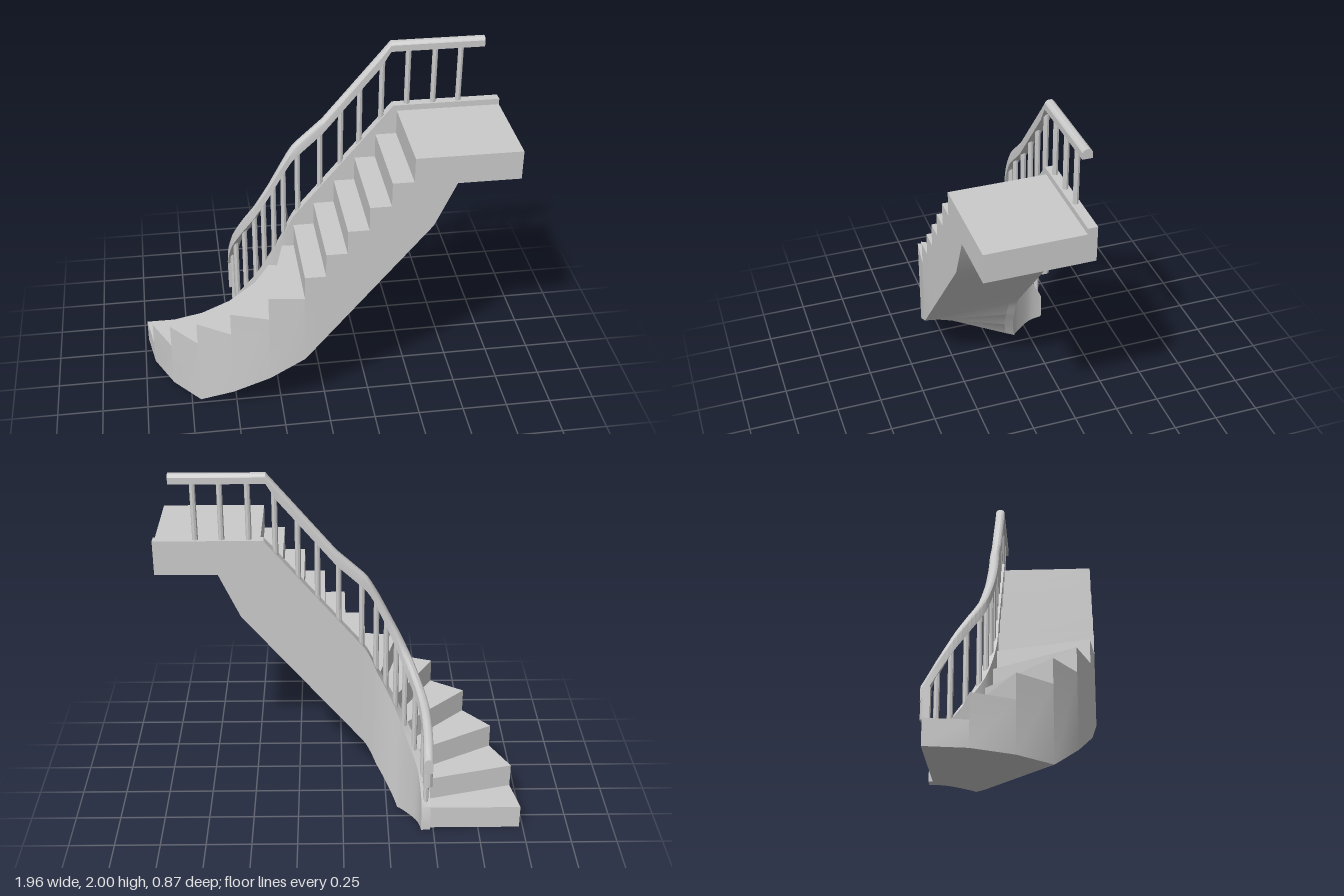
import * as THREE from 'three';
import { toCreasedNormals } from 'three/addons/utils/BufferGeometryUtils.js';

const RISE = 0.134, TREAD = 0.111, END_X = 0.975;
const V = (x, y, z) => new THREE.Vector3(x, y, z);

// Plan points [x, z] of the curved flight, one per riser
const outer = [[-0.98, -0.36], [-0.945, -0.15], [-0.845, 0.055], [-0.70, 0.225], [-0.52, 0.34], [-0.32, 0.41], [-0.13, 0.435]];
const inner = [[-0.48, -0.36], [-0.46, -0.28], [-0.405, -0.195], [-0.34, -0.125], [-0.27, -0.09], [-0.195, -0.073], [-0.13, -0.07]];
const innerCurve = new THREE.CatmullRomCurve3(
  [[-0.482, -0.435], ...inner, [-0.02, -0.07]].map(([x, z]) => V(x, 0, z)));

const xToT = x => 6 + (x + 0.13) / TREAD;
const tToX = t => -0.13 + (t - 6) * TREAD;
const T_END = xToT(END_X);

// Linear lookup in rows of [t, value]
function lookup(rows, t) {
  for (let i = 1; i < rows.length; i++) {
    const [a, va] = rows[i - 1], [b, vb] = rows[i];
    if (t <= b) return va + (vb - va) * Math.max(0, (t - a) / (b - a));
  }
  return rows[rows.length - 1][1];
}
const underside = t => lookup([[3, 0], [12, 9 * RISE], [13, 1.45], [T_END, 1.45]], t);
const stringerTop = t => Math.min(1.64, RISE * (t + 1) + 0.055);
const railTop = t => lookup([[-1, 0.5], [0, 0.635], [1, 0.775], [2, 0.92], [3, 1.05], [4, 1.18],
  [5, 1.32], [6, 1.425], [7.45, 1.575], [10.64, 2], [16, 2]], t);
const railDepth = t => lookup([[-1, 0.09], [2, 0.09], [5, 0.08], [10.2, 0.075], [10.64, 0.05], [16, 0.05]], t);

// Point at step position t, shifted by d from the tread edge towards the well
function place(t, d, y) {
  if (t >= 6.5) return V(tToX(t), y, -0.07 - d);
  const u = (t + 1) / 8, p = innerCurve.getPoint(u), g = innerCurve.getTangent(u);
  return V(p.x + g.z * d, y, p.z - g.x * d);
}

function meshFrom(name, triangles) {
  const geo = new THREE.BufferGeometry().setFromPoints(triangles);
  const mat = new THREE.MeshStandardMaterial({ color: 0xcccccc });
  const mesh = new THREE.Mesh(toCreasedNormals(geo, 0.5), mat);
  mesh.name = name;
  return mesh;
}

// Skin a row of equal rings and cap both ends
function loft(name, rings) {
  const tri = [], n = rings[0].length;
  for (let i = 0; i + 1 < rings.length; i++) {
    for (let j = 0; j < n; j++) {
      const k = (j + 1) % n, r = rings[i], s = rings[i + 1];
      tri.push(r[j], s[j], s[k], r[j], s[k], r[k]);
    }
  }
  const a = rings[0], b = rings[rings.length - 1];
  for (let j = 1; j + 1 < n; j++) tri.push(a[0], a[j], a[j + 1], b[0], b[j + 1], b[j]);
  return meshFrom(name, tri);
}

function stations(from, to, extra) {
  const list = [from, ...extra, to];
  for (let t = Math.ceil(from * 4) / 4; t < 6.5; t += 0.25) list.push(t);
  return [...new Set(list)].sort((p, q) => p - q);
}

// Treads, risers, outer wall and soffit
function buildSteps() {
  const tri = [];
  const quad = (a, b, c, d) => tri.push(a, b, c, a, c, d);
  const ts = [];
  for (let i = 0; i <= 13; i++) ts.push(i);
  ts.push(T_END);
  const O = (t, y) => t < 6 ? V(outer[t][0], y, outer[t][1]) : V(tToX(t), y, 0.435);
  const I = (t, y) => t < 6 ? V(inner[t][0], y, inner[t][1]) : V(tToX(t), y, -0.07);
  for (let i = 0; i + 1 < ts.length; i++) {
    const a = ts[i], b = ts[i + 1];
    const top = RISE * Math.min(12, i + 1), ua = underside(a), ub = underside(b);
    quad(O(a, top), O(b, top), I(b, top), I(a, top));
    quad(O(a, ua), O(b, ub), O(b, top), O(a, top));
    quad(I(a, ua), I(b, ub), O(b, ub), O(a, ua));
    if (i < 12) quad(I(a, top - RISE), O(a, top - RISE), O(a, top), I(a, top));
  }
  const e = T_END, top = 12 * RISE, u = underside(e);
  quad(O(e, u), I(e, u), I(e, top), O(e, top));
  return meshFrom('steps', tri);
}

// Handrail section: [across, up], rounded on top
const railSection = [[0, 0], [0, 0.68], [0.006, 0.88], [0.016, 1], [0.034, 1], [0.044, 0.88], [0.05, 0.68], [0.05, 0]];

export function createModel() {
  const group = new THREE.Group();
  group.add(buildSteps());

  // Inner stringer
  group.add(loft('stringer', stations(-0.27, T_END, [10.82, 12, 13]).map(t => {
    const lo = underside(t), hi = stringerTop(t);
    return [place(t, 0, lo), place(t, 0, hi), place(t, 0.05, hi), place(t, 0.05, lo)];
  })));

  // Handrail and its downturned end
  group.add(loft('handrail', stations(-1, xToT(0.875), [7.45, 10.2, 10.64]).map(t => {
    const h = railDepth(t), y = railTop(t) - h;
    return railSection.map(([d, s]) => place(t, d, y + s * h));
  })));
  group.add(loft('handrailEnd', [0.32, 0.49].map(y =>
    railSection.map(([d, s]) => V(-0.482 + d, y, -0.385 - s * 0.05)))));

  // Balusters
  const balusters = new THREE.Group();
  balusters.name = 'balusters';
  const spots = [0.1, 1, 1.9, 2.8, 3.6, 4.4, 5.2,
    ...[-0.10, 0.02, 0.13, 0.23, 0.345, 0.48, 0.62, 0.755].map(xToT)];
  for (const t of spots) {
    const lo = stringerTop(t) - 0.025, hi = railTop(t) - railDepth(t) / 2;
    const geo = toCreasedNormals(new THREE.CylinderGeometry(0.015, 0.015, hi - lo, 8), 0.5);
    const post = new THREE.Mesh(geo, new THREE.MeshStandardMaterial({ color: 0xcccccc }));
    post.name = 'baluster';
    post.position.copy(place(t, 0.025, (lo + hi) / 2));
    balusters.add(post);
  }
  group.add(balusters);
  return group;
}
